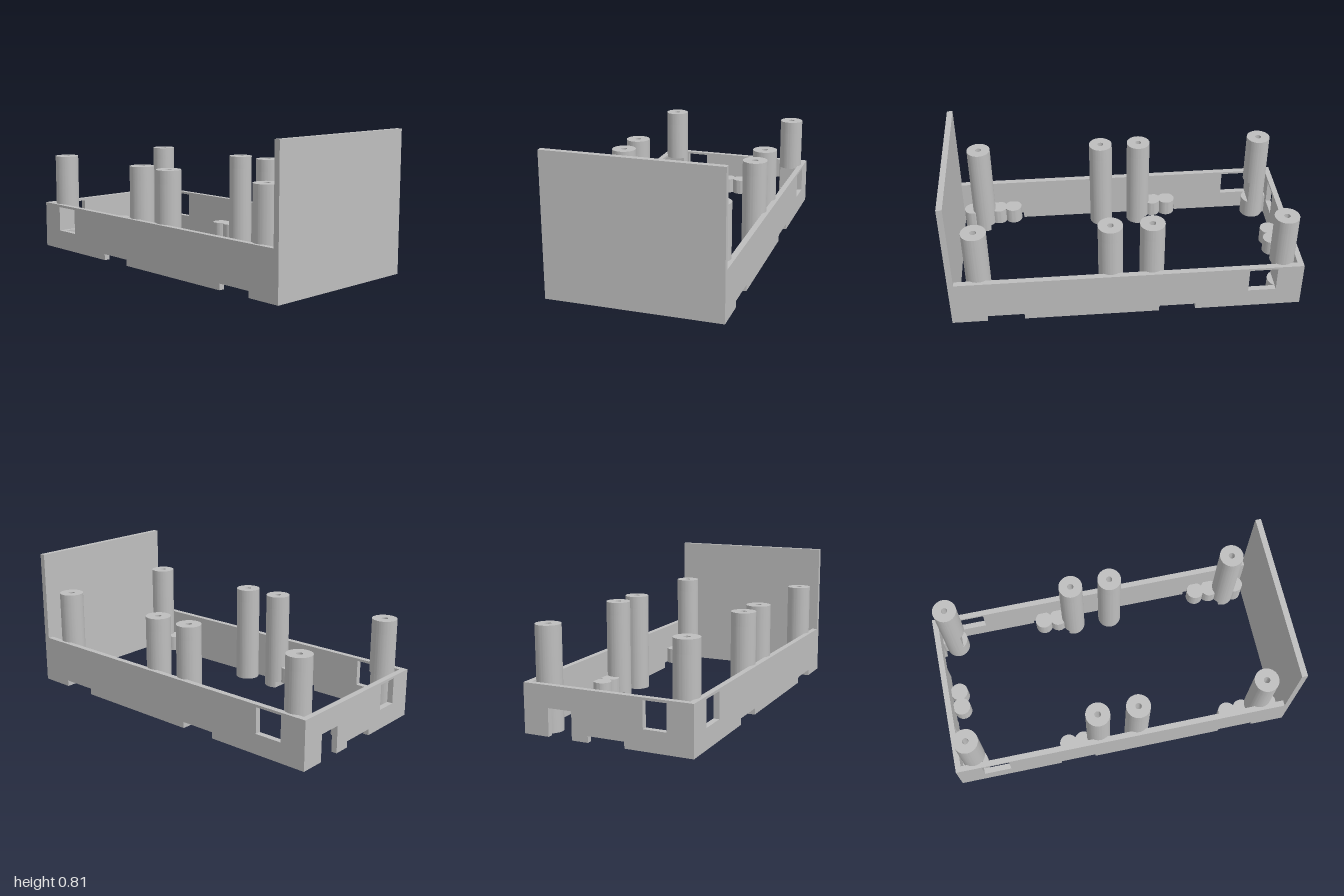
import * as THREE from 'three';
import { toCreasedNormals } from 'three/addons/utils/BufferGeometryUtils.js';

const T = 0.033;            // wall thickness
const D = 0.486;            // half depth
const H = 0.277;            // wall height
const PANEL_H = 0.805;
const POST_H = 0.575;
const NOTCH_H = 0.036;
const WINDOW = { x0: -0.85, x1: -0.69, y0: 0.115, y1: 0.263 };

export function createModel() {
  const model = new THREE.Group();
  model.name = 'enclosure';
  const grey = new THREE.MeshStandardMaterial({ color: 0xbebebe });
  grey.name = 'grey plastic';

  const add = (name, geometry, parent = model) => {
    const mesh = new THREE.Mesh(geometry, grey);
    mesh.name = name;
    parent.add(mesh);
    return mesh;
  };

  // Upright wall from u0 to u1 with bottom notches [start, end, height] and one window
  const wallGeometry = (u0, u1, notches, win) => {
    const shape = new THREE.Shape();
    shape.moveTo(u0, 0);
    for (const [a, b, h] of notches) {
      shape.lineTo(a, 0).lineTo(a, h).lineTo(b, h).lineTo(b, 0);
    }
    shape.lineTo(u1, 0).lineTo(u1, H).lineTo(u0, H).closePath();
    const hole = new THREE.Path();
    hole.moveTo(win.x0, win.y0).lineTo(win.x0, win.y1);
    hole.lineTo(win.x1, win.y1).lineTo(win.x1, win.y0).closePath();
    shape.holes.push(hole);
    return new THREE.ExtrudeGeometry(shape, { depth: T, bevelEnabled: false });
  };

  // Long walls
  const longNotches = [[-0.389, -0.18, NOTCH_H], [0.59, 0.8, NOTCH_H]];
  const longWall = wallGeometry(-1, 1 - T, longNotches, WINDOW);
  add('frontWall', longWall).position.z = D - T;
  add('backWall', longWall).position.z = -D;

  // Short wall with a tall slot, a low notch and a window
  const endWall = wallGeometry(-D + T, D - T,
    [[-0.34, -0.2, 0.155], [-0.105, 0.105, NOTCH_H]],
    { ...WINDOW, x0: 0.21, x1: 0.34 });
  endWall.rotateY(-Math.PI / 2);
  add('rightWall', endWall).position.x = -1 + T;

  // Tall end panel
  add('leftPanel', new THREE.BoxGeometry(T, PANEL_H, 2 * D))
    .position.set(1 - T / 2, PANEL_H / 2, 0);

  // Upright disc layer from y0 to y1; a flat cut at signed distance cut from the axis, optional bore
  const layer = (r, y0, y1, bore, cut = 0) => {
    const a = cut ? Math.acos(Math.abs(cut) / r) : 0;
    const turn = cut < 0 ? Math.PI : 0;
    const shape = new THREE.Shape();
    shape.absarc(0, 0, r, turn + a, turn + 2 * Math.PI - a, false);
    shape.closePath();
    if (bore) {
      const hole = new THREE.Path();
      hole.absarc(0, 0, bore, 0, 2 * Math.PI, true);
      shape.holes.push(hole);
    }
    const g = new THREE.ExtrudeGeometry(shape, { depth: y1 - y0, bevelEnabled: false, curveSegments: 40 });
    g.rotateX(-Math.PI / 2).translate(0, y0, 0);
    return toCreasedNormals(g, 0.6);
  };

  // Screw posts: wide bore from below, narrow at the top, cut where windows and notches pass
  const R = 0.07, WIDE = 0.032, NARROW = 0.018, BORE_TOP = 0.5;
  const post = (name, x, z, cuts) => {
    const group = new THREE.Group();
    group.name = name;
    group.position.set(x, 0, z);
    let y = 0;
    for (const [y0, y1, edge] of cuts) {
      if (y0 > y) add('postSection', layer(R, y, y0, WIDE), group);
      add('postCutSection', layer(R, y0, y1, WIDE, edge - x), group);
      y = y1;
    }
    add('postSection', layer(R, y, BORE_TOP, WIDE), group);
    add('postTop', layer(R, BORE_TOP, POST_H, NARROW), group);
    model.add(group);
  };

  // Small closed-top pegs with blind holes underneath
  const PEG_R = 0.052, PEG_TOP = 0.13;
  const peg = (name, x, z, y0) => {
    const group = new THREE.Group();
    group.name = name;
    group.position.set(x, 0, z);
    add('pegBody', layer(PEG_R, y0, 0.11, 0.016), group);
    add('pegTop', layer(PEG_R, 0.11, PEG_TOP, 0), group);
    model.add(group);
  };

  for (const s of [1, -1]) {
    const side = s > 0 ? 'front' : 'back';
    const z = s * 0.397;
    post(side + 'CornerPost', -0.888, z, [[WINDOW.y0, WINDOW.y1, WINDOW.x0]]);
    post(side + 'MiddlePost', -0.142, z, [[0, NOTCH_H, -0.18]]);
    post(side + 'CentrePost', 0.091, z, []);
    post(side + 'PanelPost', 0.834, z, [[0, NOTCH_H, 0.8]]);
    for (const x of [-0.326, -0.235, 0.652, 0.743]) peg(side + 'Peg', x, s * 0.407, NOTCH_H);
    peg(side + 'PanelPeg', 0.906, s * 0.4, 0);
    // Short rib joining the corner post to the end wall
    add(side + 'CornerRib', new THREE.BoxGeometry(0.02, PEG_TOP, 0.04))
      .position.set(-0.959, PEG_TOP / 2, z);
    peg('rightWallPeg', -0.92, s * 0.048, NOTCH_H);
  }
  return model;
}
